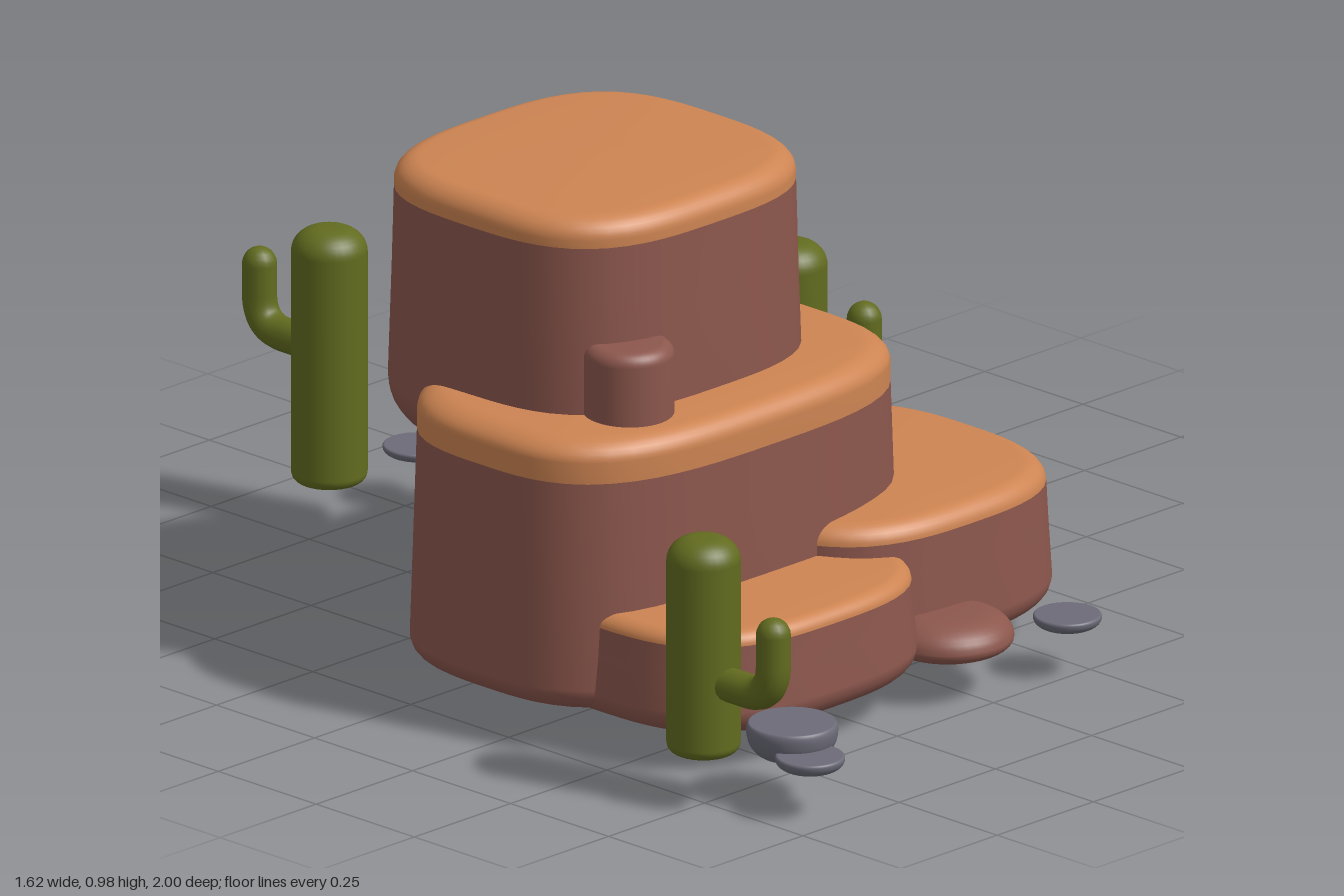
import * as THREE from 'three';
import { mergeVertices } from 'three/addons/utils/BufferGeometryUtils.js';

const mat = (color) => new THREE.MeshStandardMaterial({ color });

// Quarter-round corner points: centre (r, y), radii (a, b), from angle t0 to t1
function corner(r, y, a, b, t0, t1, steps = 8) {
  const pts = [];
  for (let i = 0; i <= steps; i++) {
    const t = t0 + ((t1 - t0) * i) / steps;
    pts.push(new THREE.Vector2(r + a * Math.cos(t), y + b * Math.sin(t)));
  }
  return pts;
}
const bottomCorner = (r, y, a, b) => corner(r - a, y + b, a, b, -Math.PI / 2, 0);
const topCorner = (r, y, a, b) => corner(r - a, y - b, a, b, 0, Math.PI / 2);

// Lathe of unit radius, bent to a superellipse footprint and scaled to hx, hz
function squarishLathe(points, hx, hz, n) {
  let geo = new THREE.LatheGeometry(points, 64);
  const p = geo.attributes.position;
  for (let i = 0; i < p.count; i++) {
    const x = p.getX(i), z = p.getZ(i), r = Math.hypot(x, z);
    if (r < 1e-6) continue;
    const f = Math.pow(Math.abs(x / r) ** n + Math.abs(z / r) ** n, -1 / n);
    p.setXYZ(i, x * f * hx, p.getY(i), z * f * hz);
  }
  geo.deleteAttribute('uv');
  geo.deleteAttribute('normal');
  geo = mergeVertices(geo, 1e-5);
  geo.computeVertexNormals();
  return geo;
}

export function createModel() {
  const model = new THREE.Group();
  const rock = mat(0x8c574d), sand = mat(0xcd8452), green = mat(0x626b1f), grey = mat(0x6c6b78);

  const add = (parent, name, geo, material, x = 0, y = 0, z = 0) => {
    const mesh = new THREE.Mesh(geo, material);
    mesh.name = name;
    mesh.position.set(x, y, z);
    parent.add(mesh);
    return mesh;
  };

  // Mesa tier: rock body with a sand-coloured rounded cap
  function tier(name, [x0, x1], [z0, z1], y0, yCap, y1, round, n) {
    const g = new THREE.Group();
    g.name = name;
    g.position.set((x0 + x1) / 2, 0, (z0 + z1) / 2);
    const hx = (x1 - x0) / 2, hz = (z1 - z0) / 2, flare = 1.03;
    const body = [
      new THREE.Vector2(0, y0),
      ...bottomCorner(flare, y0, round / 0.33, round),
      new THREE.Vector2(1.01, y0 + (yCap - y0) * 0.7),
      new THREE.Vector2(1, yCap),
    ];
    const e = Math.min(0.045, y1 - yCap);
    const cap = [
      new THREE.Vector2(1, yCap),
      ...topCorner(1, y1 - 0.006, e / 0.33, e - 0.006),
      new THREE.Vector2(0.6, y1 - 0.001),
      new THREE.Vector2(0, y1),
    ];
    add(g, 'rockBody', squarishLathe(body, hx, hz, n), rock);
    add(g, 'sandCap', squarishLathe(cap, hx, hz, n), sand);
    model.add(g);
  }
  tier('topTier', [-0.665, 0.005], [-0.255, 0.37], 0.45, 0.925, 0.985, 0.11, 3.1);
  tier('middleTier', [-0.77, 0.135], [-0.11, 0.5], 0.08, 0.525, 0.61, 0.05, 3.1);
  tier('backTier', [-0.38, 0.29], [-0.46, 0.15], 0.08, 0.41, 0.457, 0.05, 2.9);
  tier('frontLeftTier', [-0.7, -0.05], [0.1, 0.72], 0.075, 0.25, 0.282, 0.05, 3);
  tier('frontRightTier', [-0.24, 0.405], [0, 0.62], 0.068, 0.3, 0.342, 0.05, 2.9);

  // Round stone with separate bottom and top corner sizes [width, height]
  function stone(name, x, z, r, y0, y1, low, high, material) {
    const pts = [
      new THREE.Vector2(0, y0),
      ...bottomCorner(r, y0, ...low),
      ...topCorner(r, y1, ...high),
      new THREE.Vector2(0, y1),
    ];
    add(model, name, new THREE.LatheGeometry(pts, 40), material, x, 0, z);
  }

  // Boulders around the mesa
  stone('sideBoulder', 0.285, -0.062, 0.118, 0.005, 0.222, [0.1, 0.09], [0.02, 0.02], rock);
  stone('backBoulder', 0.135, -0.45, 0.085, 0.09, 0.34, [0.05, 0.05], [0.025, 0.025], rock);
  stone('frontBoulder', -0.008, 0.64, 0.122, 0.085, 0.157, [0.05, 0.025], [0.07, 0.045], rock);
  stone('ledgeBoulder', -0.538, 0.347, 0.084, 0.5, 0.742, [0.04, 0.04], [0.025, 0.025], rock);

  // Flat stones: level top, curved underside
  for (const [x, z, r, y0, y1] of [
    [0.655, -0.55, 0.126, 0.1, 0.155],
    [0.685, -0.477, 0.122, 0.06, 0.112],
    [-0.625, 0.85, 0.084, 0.09, 0.156],
    [-0.662, 0.932, 0.064, 0.094, 0.122],
    [0.205, 0.737, 0.063, 0.096, 0.122],
    [0.03, -0.75, 0.063, 0.096, 0.118],
  ]) {
    const h = y1 - y0;
    stone('flatStone', x, z, r, y0, y1, [r * 0.5, h * 0.75], [r * 0.07, h * 0.2], grey);
  }

  // Cactus: rounded trunk with arms given as [z reach, elbow height, tip height]
  function cactus(x, z, r, y0, y1, arms) {
    const g = new THREE.Group();
    g.name = 'cactus';
    g.position.set(x, 0, z);
    const trunk = [
      new THREE.Vector2(0, y0),
      ...bottomCorner(r, y0, 0.02, 0.02),
      ...topCorner(r, y1, r * 0.75, 0.045),
      new THREE.Vector2(0, y1),
    ];
    add(g, 'trunk', new THREE.LatheGeometry(trunk, 32), green);
    const t = 0.032;
    for (const [reach, elbow, tip] of arms) {
      const s = Math.sign(reach), bend = 0.065;
      const v = (zz, y) => new THREE.Vector3(0, y, zz);
      const path = new THREE.CurvePath();
      path.add(new THREE.LineCurve3(v(0, elbow), v(reach - s * bend, elbow)));
      path.add(new THREE.QuadraticBezierCurve3(
        v(reach - s * bend, elbow), v(reach, elbow), v(reach, elbow + bend)));
      path.add(new THREE.LineCurve3(v(reach, elbow + bend), v(reach, tip - t)));
      add(g, 'arm', new THREE.TubeGeometry(path, 40, t, 16), green);
      add(g, 'armTip', new THREE.SphereGeometry(t, 16, 12), green, 0, tip - t, reach);
    }
    model.add(g);
  }
  cactus(-0.74, 0.737, 0.068, 0.1, 0.515, [[0.178, 0.245, 0.402]]);
  cactus(0.55, -0.31, 0.069, 0.09, 0.488, [[-0.178, 0.29, 0.45], [0.19, 0.265, 0.418]]);
  cactus(-0.157, -0.79, 0.07, 0.085, 0.575, [[-0.178, 0.338, 0.492]]);

  return model;
}
